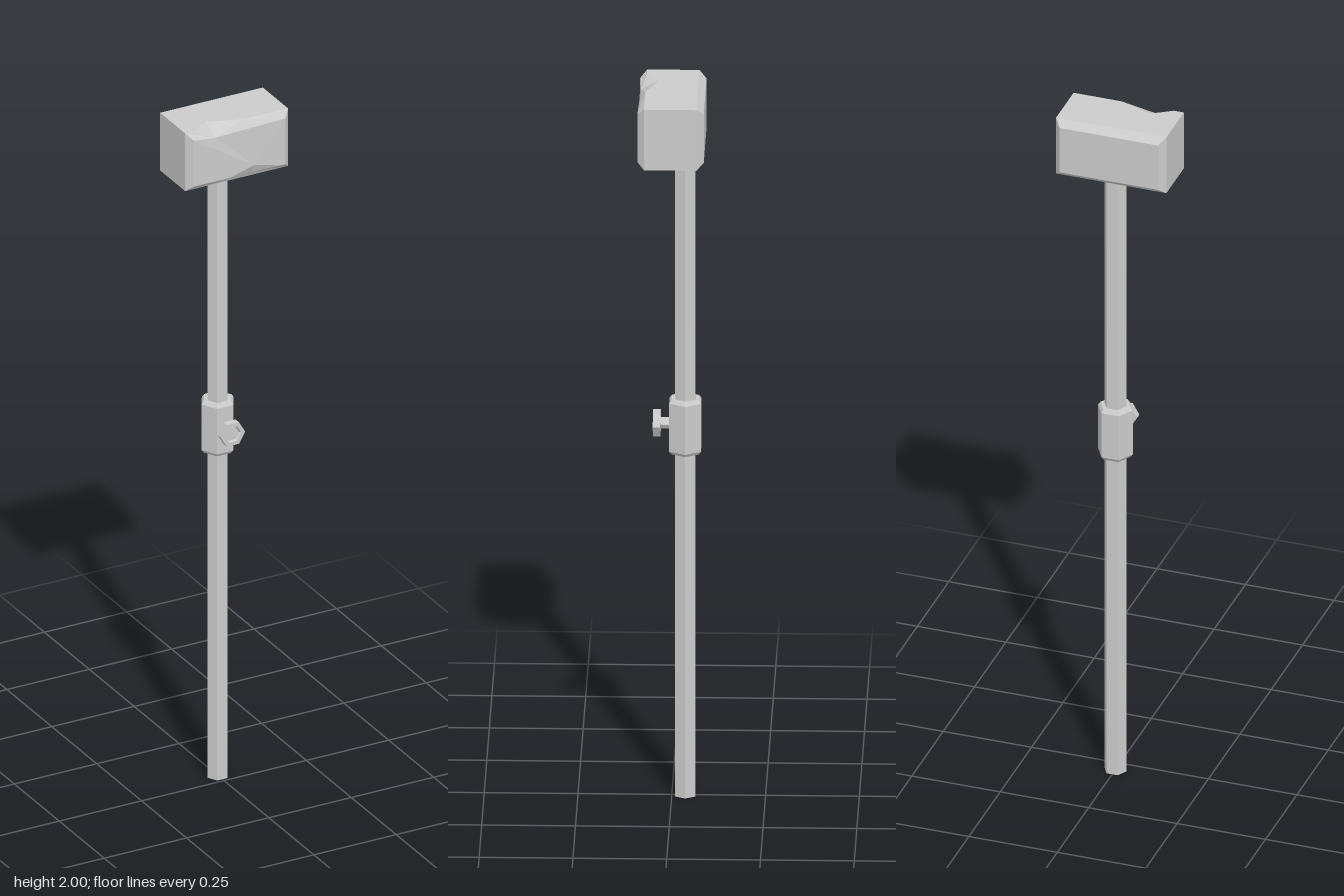
import * as THREE from 'three';

const mat = new THREE.MeshStandardMaterial({ color: 0xcccccc, flatShading: true });
const AXIS_Z = -0.036; // depth of the pole axis

function add(parent, name, geo, x, y, z) {
  const mesh = new THREE.Mesh(geo, mat);
  mesh.name = name;
  mesh.position.set(x, y, z);
  parent.add(mesh);
  return mesh;
}

// hexagonal solid from [radius, height] pairs, corners pointing along x
function hex(points) {
  return new THREE.LatheGeometry(points.map(([r, y]) => new THREE.Vector2(r, y)), 6, Math.PI / 6)
    .toNonIndexed();
}

// flat polygons, each drawn as a fan from its first corner
function polygons(faces) {
  const pos = [];
  for (const f of faces)
    for (let i = 1; i < f.length - 1; i++) pos.push(...f[0], ...f[i], ...f[i + 1]);
  const geo = new THREE.BufferGeometry();
  geo.setAttribute('position', new THREE.Float32BufferAttribute(pos, 3));
  geo.computeVertexNormals();
  return geo;
}

// block head: bevelled front and back, with chips in the front edges
function headGeometry() {
  const ring = (w, lo, hi, z) => [[-w, lo, z], [w, lo, z], [w, hi, z], [-w, hi, z]];
  const [a, b, c, d] = ring(0.156, 1.828, 2, 0.07);
  const [e, f, g, h] = ring(0.139, 1.845, 1.982, 0.088);
  const [a2, b2, c2, d2] = ring(0.156, 1.828, 2, -0.07);
  const [e2, f2, g2, h2] = ring(0.139, 1.845, 1.982, -0.089);
  // top chip: left, deep, right, lowered edge point
  const A = [-0.128, 2, 0.07], P = [-0.074, 2, 0.035], B = [0.02, 2, 0.07], Q = [-0.073, 1.973, 0.084];
  // bottom chip: left, peak, right, pushed-in point
  const S = [-0.03, 1.845, 0.088], T = [0.045, 1.866, 0.088], R = [0.125, 1.845, 0.088], U = [0.04, 1.841, 0.077];
  return polygons([
    [P, B, c, c2, d2, d, A], [A, Q, P], [P, Q, B],           // top and its chip
    [d, h, Q, A], [B, Q, g, c],                              // front top bevel
    [T, R, f, g, Q, h, e, S], [S, U, T], [T, U, R],          // front and its chip
    [U, S, e, a, b, f, R], [a, e, h, d], [f, b, c, g],       // other front bevels
    [b, b2, c2, c], [a2, a, d, d2], [a, a2, b2, b],          // sides and underside
    [f2, e2, h2, g2], [e2, f2, b2, a2], [d2, h2, e2, a2],    // back and its bevels
    [g2, c2, b2, f2], [c2, g2, h2, d2],
  ]);
}

export function createModel() {
  const model = new THREE.Group();
  model.name = 'polePost';

  add(model, 'pole', hex([[0, 0], [0.031, 0], [0.031, 1.84], [0, 1.84]]), 0, 0, AXIS_Z);

  // bevelled clamp sleeve
  add(model, 'collar', hex([[0.03, 0.973], [0.042, 0.973], [0.049, 0.982],
    [0.049, 1.118], [0.042, 1.127], [0.03, 1.127]]), 0, 0, AXIS_Z);

  // clamp screw facing forward: stem, flared head, shallow socket
  const knob = new THREE.Group();
  knob.name = 'clampKnob';
  knob.position.set(0, 1.055, 0);
  knob.rotation.x = Math.PI / 2;
  model.add(knob);
  add(knob, 'knobStem', hex([[0.016, -0.01], [0.016, 0.035]]), 0, 0, 0);
  add(knob, 'knobHead', hex([[0, 0.03], [0.037, 0.03], [0.037, 0.05],
    [0.025, 0.05], [0.022, 0.043], [0, 0.043]]), 0, 0, 0);

  add(model, 'head', headGeometry(), 0, 0, 0);
  return model;
}
